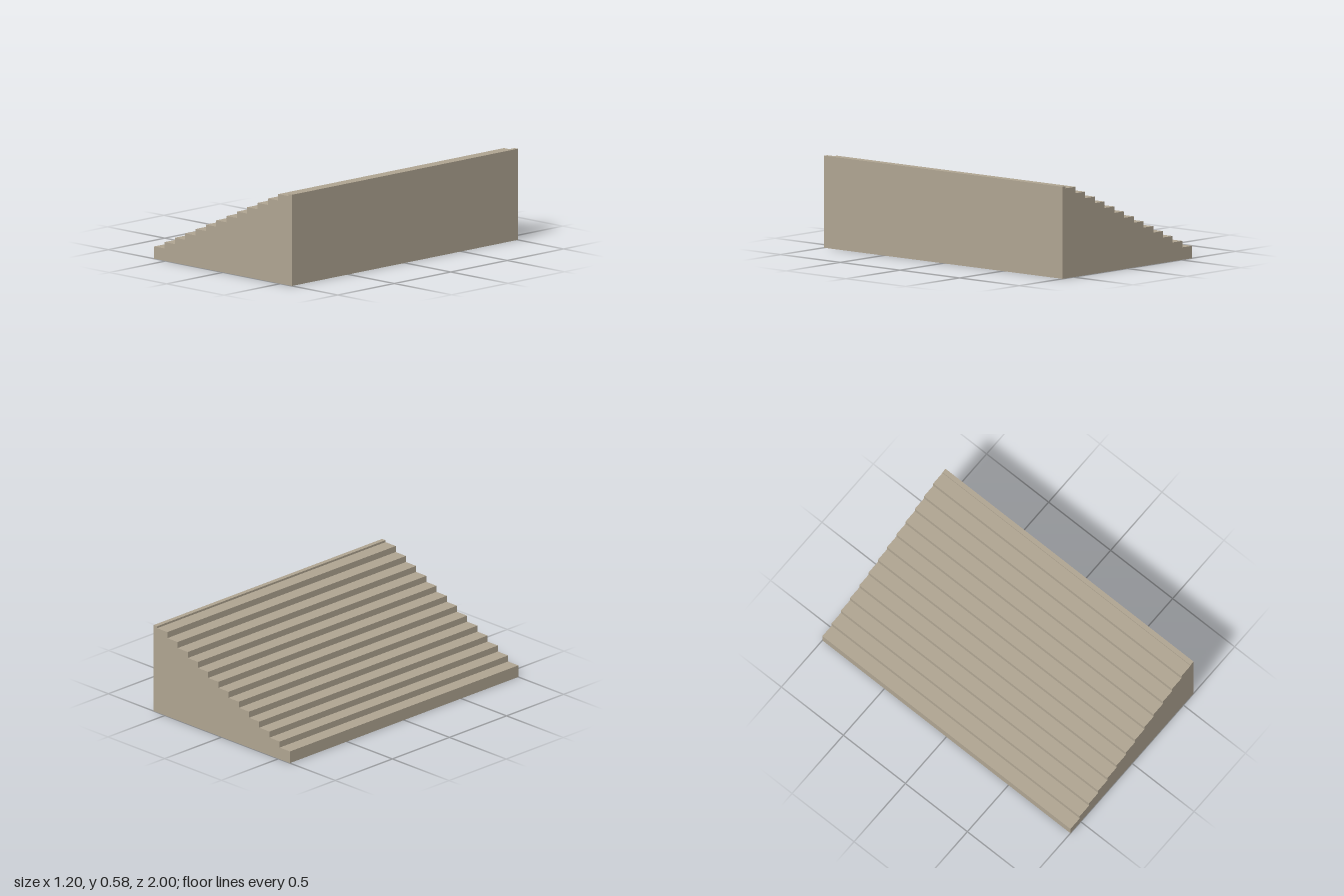
import * as THREE from 'three';

export function createModel() {
  const group = new THREE.Group();
  group.name = 'staircase';

  const halfWidth = 0.6, length = 2;
  const steps = 13, tread = 0.09, firstRise = 0.078, rise = 0.0406, topHeight = 0.578;

  // Stepped side profile, climbing towards +x
  const profile = new THREE.Shape();
  profile.moveTo(halfWidth, 0);
  profile.lineTo(halfWidth, topHeight);
  // Narrow landing edge at the top
  profile.lineTo(-halfWidth + steps * tread, topHeight);
  for (let i = steps - 1; i >= 0; i--) {
    const y = firstRise + i * rise;
    profile.lineTo(-halfWidth + (i + 1) * tread, y);
    profile.lineTo(-halfWidth + i * tread, y);
  }
  profile.lineTo(-halfWidth, 0);
  profile.closePath();

  // Solid flight of steps
  const geometry = new THREE.ExtrudeGeometry(profile, { depth: length, bevelEnabled: false });
  geometry.translate(0, 0, -length / 2);
  const flight = new THREE.Mesh(geometry, new THREE.MeshStandardMaterial({ color: 0xb0a592 }));
  flight.name = 'stepFlight';
  group.add(flight);

  return group;
}
